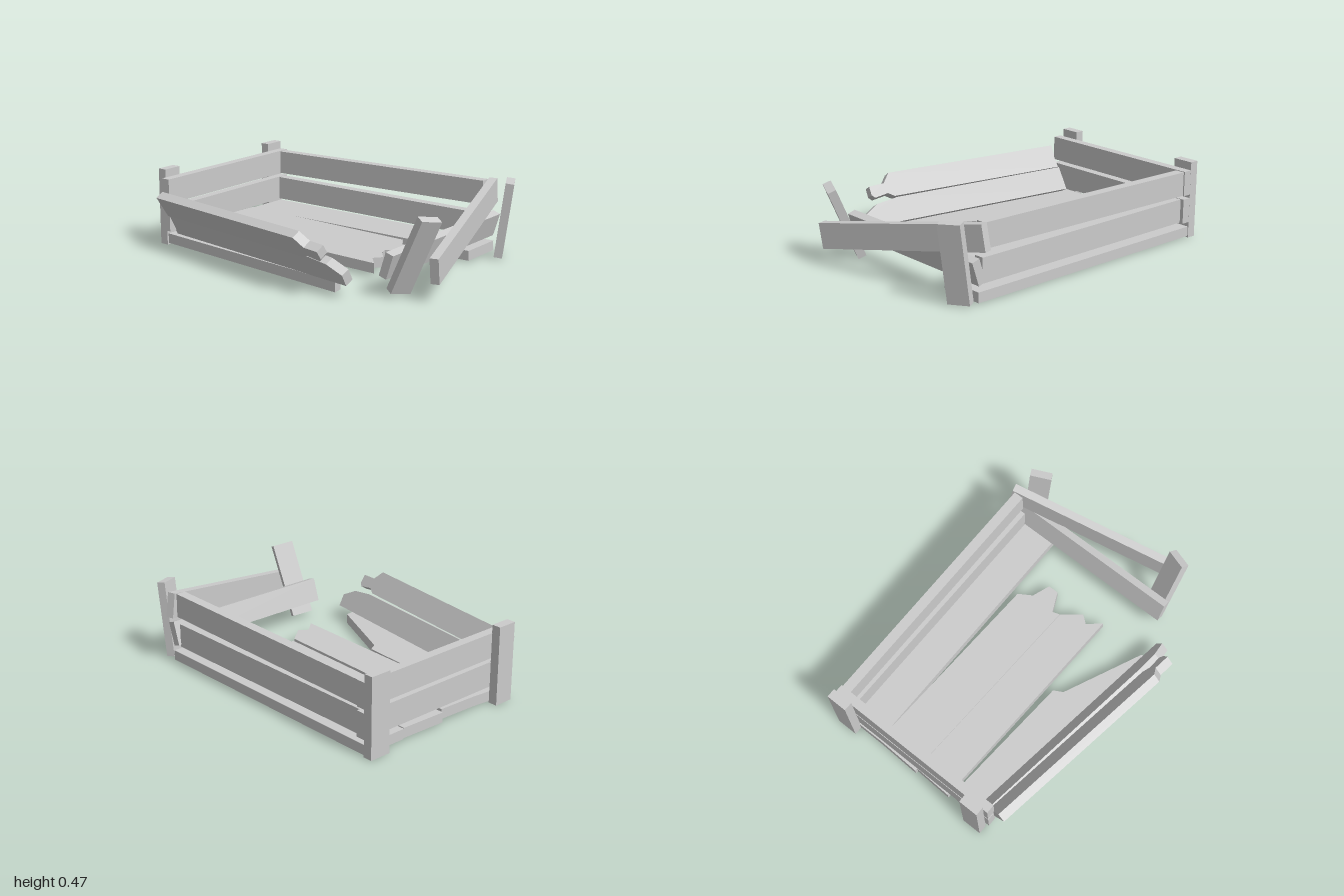
import * as THREE from 'three';

export function createModel() {
  const crate = new THREE.Group();
  const mat = new THREE.MeshStandardMaterial({ color: 0xcccccc, flatShading: true });

  // rotation is applied in the given order
  function add(name, geo, pos, rot = [0, 0, 0], order = 'YXZ') {
    const m = new THREE.Mesh(geo, mat);
    m.name = name;
    m.position.set(...pos);
    m.rotation.set(...rot, order);
    crate.add(m);
    return m;
  }
  const box = (x, y, z) => new THREE.BoxGeometry(x, y, z);
  const cut = (pts, depth) => new THREE.ExtrudeGeometry(
    new THREE.Shape(pts.map(([x, y]) => new THREE.Vector2(x, y))),
    { depth, bevelEnabled: false });

  // corner posts: two upright, two knocked over
  add('backRightPost', box(0.055, 0.47, 0.13), [-0.972, 0.236, -0.61]);
  add('frontRightPost', box(0.055, 0.47, 0.122), [-0.972, 0.236, 0.35]);
  add('backLeftPost', box(0.05, 0.46, 0.13), [0.815, 0.24, -0.61], [0, 0.47, -0.14], 'ZYX');
  add('frontLeftPost', box(0.05, 0.47, 0.13), [0.83, 0.24, 0.36], [0, -0.4, -0.42], 'ZYX');

  // intact end and back rails
  for (const [level, y] of [['lower', 0.175], ['upper', 0.347]]) {
    const top = level === 'upper';
    add(level + 'RightRail', box(0.055, 0.15, 1.115), [-0.918, y, -0.117]);
    add(level + 'BackRail', box(1.56, 0.145, 0.06),
      [-0.115, top ? 0.358 : y, top ? -0.637 : -0.622], [0, 0, top ? 0.016 : 0]);
  }

  // loose rails of the collapsed end
  add('lowerLeftRail', box(0.05, 0.145, 1.11), [0.705, 0.18, -0.115], [0, 0, -0.31]);
  add('fallenLeftRail', box(0.05, 0.15, 1.125), [0.825, 0.278, -0.165], [0.174, 0.26, 0]);

  // floor boards: outline in x and z, underside height
  const floor = [
    [[[-0.95, -0.67], [0.71, -0.67], [0.71, -0.39], [-0.95, -0.39]], 0.01],
    [[[-0.95, -0.39], [0.28, -0.34], [0.33, -0.26], [0.44, -0.22], [0.44, -0.155],
      [0.32, -0.1], [0.335, -0.055], [-0.96, -0.105]], 0.015],
    [[[-0.945, -0.1], [0.33, -0.05], [0.42, 0.06], [0.38, 0.11], [0.45, 0.19], [-0.955, 0.14]], 0.027],
    [[[-0.93, 0.155], [-0.07, 0.215], [-0.04, 0.27], [0.44, 0.49], [0.45, 0.55], [-0.955, 0.4]], 0.01],
  ];
  floor.forEach(([pts, y], i) => {
    const geo = cut(pts.map(([x, z]) => [x, -z]), 0.06);
    geo.rotateX(-Math.PI / 2);
    add('floorBoard' + (i + 1), geo, [0, y, 0]);
  });

  // snapped front rails, leaning outward
  const snapped = [
    ['upperFrontRail', [[0, 0], [1.21, 0], [1.25, 0.025], [1.34, 0.01], [1.36, 0.03], [1.36, 0.085],
      [1.26, 0.09], [1.21, 0.15], [0, 0.15]], [-0.9, 0.275, 0.465], 0.57, -0.15],
    ['lowerFrontRail', [[0, 0], [1.45, 0], [1.455, 0.075], [1.36, 0.13], [1.22, 0.15], [0, 0.15]],
      [-0.9, 0.147, 0.38], 0.5, -0.138],
  ];
  for (const [name, pts, pos, lean, yaw] of snapped) {
    const geo = cut(pts, 0.055);
    geo.translate(0, -0.075, -0.0275);
    add(name, geo, pos, [lean, yaw, 0]);
  }
  return crate;
}
